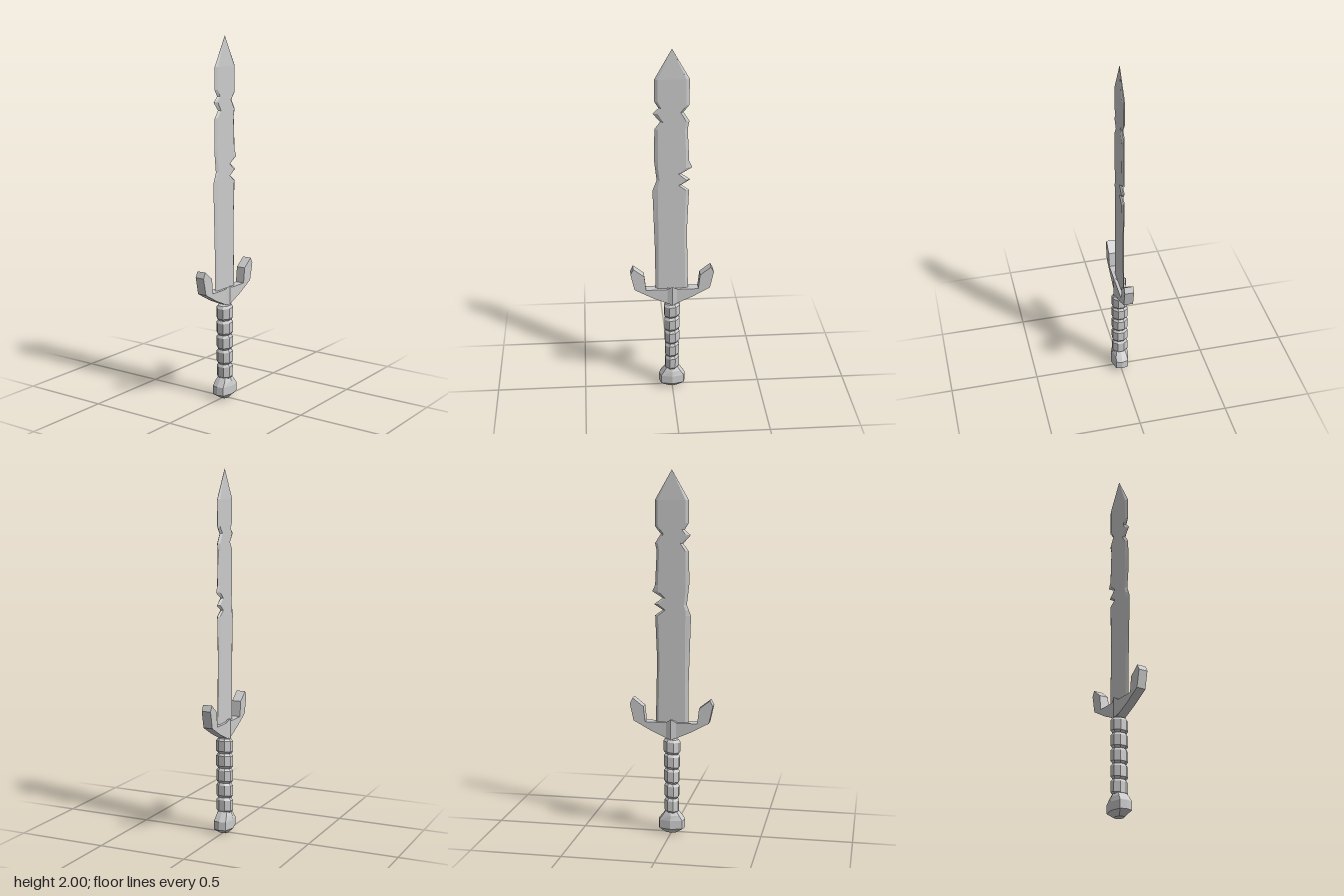
import * as THREE from 'three';

const metal = new THREE.MeshStandardMaterial({ color: 0xcccccc, flatShading: true });

function addMesh(parent, name, geometry) {
  const mesh = new THREE.Mesh(geometry, metal);
  mesh.name = name;
  parent.add(mesh);
  return mesh;
}

// Joins rings of [x, y, z] points (counter-clockwise seen from above, bottom first) into a capped solid
function loft(rings) {
  const n = rings[0].length, index = [];
  for (let r = 0; r < rings.length - 1; r++) {
    for (let i = 0; i < n; i++) {
      const a = r * n + i, b = r * n + (i + 1) % n;
      index.push(a, b, b + n, a, b + n, a + n);
    }
  }
  const top = (rings.length - 1) * n;
  for (let i = 1; i < n - 1; i++) {
    index.push(0, i + 1, i, top, top + i, top + i + 1);
  }
  const geo = new THREE.BufferGeometry();
  geo.setAttribute('position', new THREE.Float32BufferAttribute(rings.flat(2), 3));
  geo.setIndex(index);
  const flat = geo.toNonIndexed();
  flat.computeVertexNormals();
  return flat;
}

// Edge position at a height, from [y, x] points
function sample(edge, y) {
  for (let i = 0; i < edge.length - 1; i++) {
    const [y0, x0] = edge[i], [y1, x1] = edge[i + 1];
    if (y <= y1) return x0 + (x1 - x0) * (y - y0) / (y1 - y0);
  }
  return edge[edge.length - 1][1];
}

// Bevelled blade with notched edges
function bladeGeometry() {
  const leftEdge = [[0.6, 0.09], [0.98, 0.082], [1.22, 0.092], [1.25, 0.05], [1.28, 0.098], [1.315, 0.05],
    [1.35, 0.108], [1.385, 0.092], [1.57, 0.083], [1.61, 0.092], [1.66, 0.06], [1.7, 0.092], [1.84, 0.092], [2, 0]];
  const rightEdge = [[0.6, 0.092], [0.85, 0.093], [1.22, 0.105], [1.28, 0.082], [1.4, 0.096], [1.57, 0.092],
    [1.61, 0.062], [1.655, 0.102], [1.685, 0.07], [1.72, 0.092], [1.84, 0.092], [2, 0]];
  const heights = [...new Set([...leftEdge, ...rightEdge].map(p => p[0]))].sort((a, b) => a - b);
  const inner = x => Math.max(0, Math.min(0.075, x - 0.015));
  return loft(heights.map(y => {
    const l = sample(leftEdge, y), r = sample(rightEdge, y);
    const t = y > 1.99 ? 0.001 : 0.009;
    return [[-r, y, 0], [-inner(r), y, t], [inner(l), y, t], [l, y, 0], [inner(l), y, -t], [-inner(r), y, -t]];
  }));
}

// Crossguard with upturned horns
function guardGeometry() {
  const half = [[0.145, 0.63], [0.155, 0.715], [0.215, 0.762], [0.231, 0.73], [0.21, 0.635], [0.11, 0.58], [0.02, 0.54]];
  const outline = [...half, ...half.map(([x, y]) => [-x, y]).reverse()];
  const shape = new THREE.Shape(outline.map(([x, y]) => new THREE.Vector2(x, y)));
  return new THREE.ExtrudeGeometry(shape, { depth: 0.052, bevelEnabled: false }).translate(0, 0, -0.026);
}

// Ridged block in the middle of the guard, peaked at the top
function guardCentreGeometry() {
  const ring = (side, mid) => [[-0.033, side, 0.024], [0, mid, 0.036], [0.033, side, 0.024],
    [0.033, side, -0.024], [0, mid, -0.036], [-0.033, side, -0.024]];
  return loft([ring(0.55, 0.533), ring(0.628, 0.65)]);
}

// Wrapped grip: five swollen bands with slanted grooves between them
function gripGeometry() {
  const rings = [], bands = 5, bottom = 0.115, step = 0.084;
  const profile = [[0, 0.78], [0.16, 1], [0.84, 1], [1, 0.78]];
  const ring = (y, rx, rz, slant) => Array.from({ length: 8 }, (_, i) => {
    const a = (i + 0.5) * Math.PI / 4;
    const x = Math.sin(a) * rx;
    return [x, y + x * slant, Math.cos(a) * rz];
  });
  for (let b = 0; b < bands; b++) {
    const rx = 0.041 + 0.0016 * b;
    for (const [t, s] of profile) {
      if (b > 0 && t === 0) continue;
      rings.push(ring(bottom + (b + t) * step, rx * s, 0.047 * s, 0.12));
    }
  }
  return loft(rings);
}

// Faceted pommel
function pommelGeometry() {
  const section = [[0, 1], [0.87, 0.68], [1, 0], [0.87, -0.68], [0, -1], [-0.87, -0.68], [-1, 0], [-0.87, 0.68]];
  const rows = [[0, 0.03, 0.025], [0.028, 0.074, 0.052], [0.075, 0.074, 0.052], [0.103, 0.052, 0.046], [0.125, 0.034, 0.036]];
  return loft(rows.map(([y, rx, rz]) => section.map(([x, z]) => [x * rx, y, z * rz])));
}

export function createModel() {
  const sword = new THREE.Group();
  sword.name = 'sword';
  addMesh(sword, 'blade', bladeGeometry());
  addMesh(sword, 'crossguard', guardGeometry());
  addMesh(sword, 'guardCentre', guardCentreGeometry());
  addMesh(sword, 'grip', gripGeometry());
  addMesh(sword, 'pommel', pommelGeometry());
  return sword;
}
